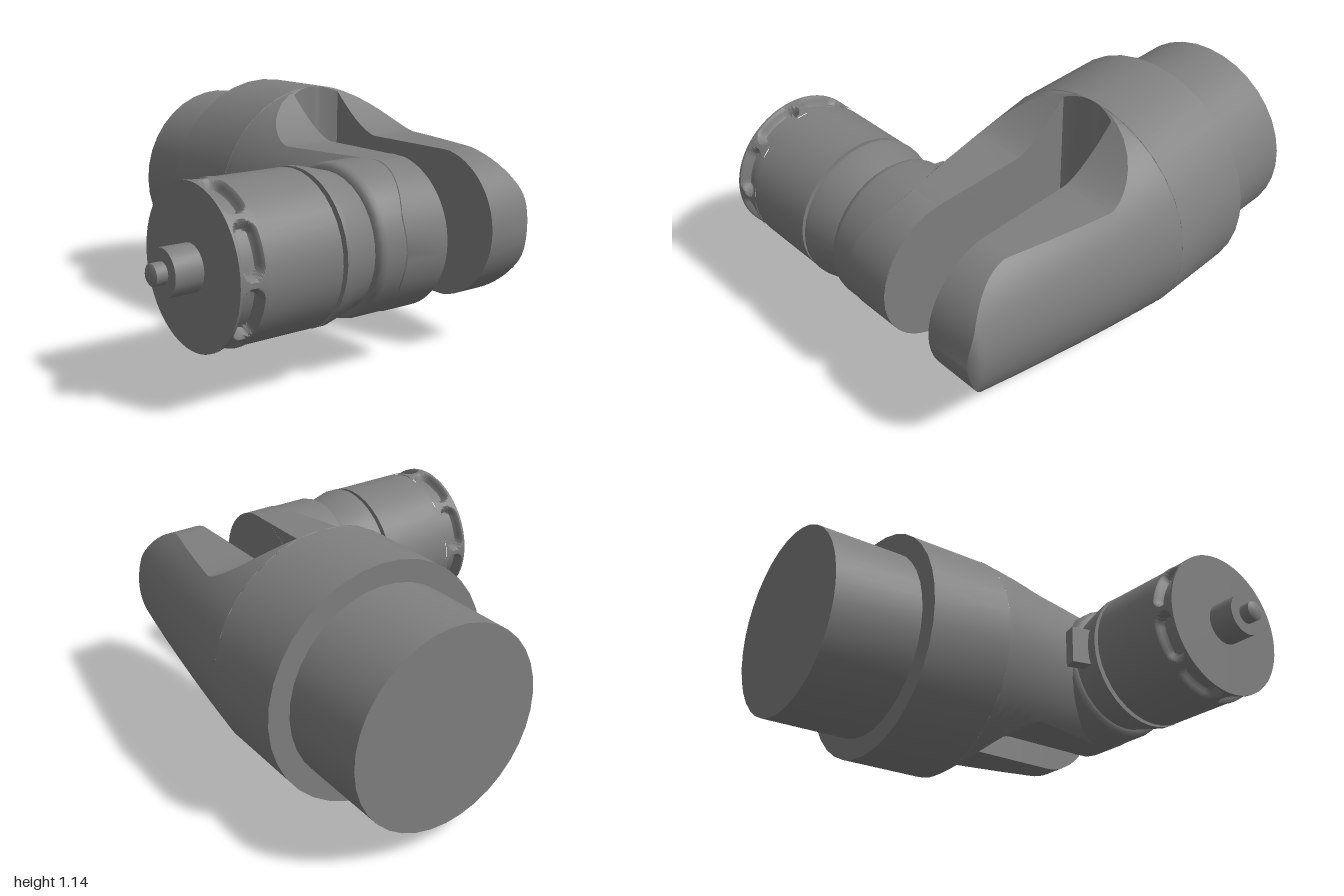
import * as THREE from 'three';
import { toCreasedNormals } from 'three/addons/utils/BufferGeometryUtils.js';

const AXIS_Y = 0.573, AXIS_Z = -0.417; // long axis of the body, along x
const BARREL_R = 0.57;
const HUB_X = 0.645;                   // cross axis of the head, along z
const ARM_R = 0.35, ARM_H = 0.345;
const SLOT_X = -0.12, SLOT_HALF = 0.14;
const material = new THREE.MeshStandardMaterial({ color: 0x7f7f7f });

function part(name, geometry, parent, crease = 0.6) {
  const mesh = new THREE.Mesh(toCreasedNormals(geometry, crease), material);
  mesh.name = name;
  parent.add(mesh);
  return mesh;
}

// Turned part; profile is [radius, height] pairs from bottom to top
function turned(profile, sides = 36) {
  return new THREE.LatheGeometry(profile.map(([r, h]) => new THREE.Vector2(r, h)), sides);
}

// Half height of the fork seen from the side: flare, straight run, round end
function halfHeight(x) {
  if (x < 0.2) return ARM_H + 0.225 * Math.pow((0.2 - x) / 0.32, 1.5);
  if (x < HUB_X) return ARM_H;
  return Math.min(ARM_H, Math.sqrt(Math.max(0, ARM_R ** 2 - (x - HUB_X) ** 2)));
}

// Tapering outer radius of the fork, softened at the tip
function outerRadius(x) {
  const d = x - SLOT_X, tip = Math.max(0, (x - 0.95) / 0.045);
  return BARREL_R - 0.12 * d - 0.03 * d * d - 0.03 * tip * tip;
}

// One arm: cone clipped to the side profile and to its half of the slot
function armGeometry(side) {
  const xs = [-0.12, -0.119, -0.116, -0.111, -0.102, -0.09];
  for (let x = -0.06; x < 0.19; x += 0.04) xs.push(x);
  xs.push(0.2, 0.35, 0.5);
  for (let i = 0; i <= 16; i++) xs.push(HUB_X + ARM_R * Math.sin(i / 16 * Math.PI / 2));
  const arc = 16, count = arc + 3, positions = [], index = [];
  for (const x of xs) {
    const r = outerRadius(x);
    const inner = SLOT_HALF * Math.sqrt(Math.min(1, (x - SLOT_X) / 0.03));
    const h = Math.min(halfHeight(x), Math.sqrt(r * r - inner * inner));
    const a = Math.asin(Math.min(1, h / r));
    const add = (y, w) => positions.push(x, AXIS_Y + y, AXIS_Z + side * w);
    add(h, inner);
    for (let j = 0; j <= arc; j++) {
      const t = a * (1 - 2 * j / arc);
      add(r * Math.sin(t), Math.max(inner, r * Math.cos(t)));
    }
    add(-h, inner);
  }
  const tri = (a, b, c) => (side > 0 ? index.push(a, b, c) : index.push(a, c, b));
  for (let i = 0; i < xs.length - 1; i++) {
    for (let j = 0; j < count; j++) {
      const a = i * count + j, b = i * count + (j + 1) % count;
      tri(a, b, a + count);
      tri(b, b + count, a + count);
    }
  }
  const g = new THREE.BufferGeometry();
  g.setAttribute('position', new THREE.Float32BufferAttribute(positions, 3));
  g.setIndex(index);
  return g;
}

// Ring wall with eight rounded pockets pressed into it
function gripGeometry(radius, height) {
  const g = new THREE.CylinderGeometry(radius, radius, height, 192, 24, true);
  const p = g.attributes.position, step = Math.PI / 4;
  for (let i = 0; i < p.count; i++) {
    const angle = Math.atan2(p.getZ(i), p.getX(i)) + Math.PI * 2;
    const u = ((angle % step) - step / 2) * radius;
    const straight = Math.max(0, Math.abs(u) - 0.07);
    const inside = 0.054 - Math.hypot(straight, p.getY(i));
    const depth = 0.045 * THREE.MathUtils.smoothstep(inside, 0, 0.022);
    const k = (radius - depth) / radius;
    p.setXYZ(i, p.getX(i) * k, p.getY(i), p.getZ(i) * k);
  }
  return g;
}

export function createModel() {
  const model = new THREE.Group();
  model.name = 'forkJoint';

  // Rear stub and main barrel, turned about x
  const barrel = new THREE.Group();
  barrel.name = 'barrel';
  barrel.position.set(0, AXIS_Y, AXIS_Z);
  barrel.rotation.z = -Math.PI / 2;
  model.add(barrel);
  part('rearStub', turned([[0, -1], [0.468, -1], [0.468, -0.54]]), barrel);
  part('mainBarrel', turned([[0, -0.552], [BARREL_R, -0.552], [BARREL_R, SLOT_X], [0, SLOT_X]]), barrel);

  // Fork arms either side of the slot
  part('frontArm', armGeometry(1), model);
  part('rearArm', armGeometry(-1), model);

  // Head parts, turned about z
  const head = new THREE.Group();
  head.name = 'head';
  head.position.set(HUB_X, AXIS_Y, 0);
  head.rotation.x = Math.PI / 2;
  model.add(head);
  part('armBoss', turned([[0, -0.278], [0.347, -0.278], [0.347, 0.06], [0.342, 0.082],
    [0.33, 0.096], [0.31, 0.102], [0, 0.102]]), head);
  part('collar', turned([[0, 0.098], [0.312, 0.098], [0.35, 0.25], [0.35, 0.278], [0, 0.278]]), head, 0.3);
  part('neck', turned([[0.28, 0.27], [0.28, 0.31]]), head);
  part('housing', turned([[0, 0.3], [0.348, 0.3], [0.348, 0.67], [0, 0.67]]), head);
  part('gripRing', gripGeometry(0.351, 0.13), head).position.y = 0.735;
  part('frontDisc', turned([[0.351, 0.8], [0, 0.8]], 64), head);
  part('spindle', turned([[0.102, 0.79], [0.102, 0.93], [0, 0.93]], 24), head);
  part('spindleTip', turned([[0.047, 0.92], [0.047, 0.98], [0.035, 0.988], [0, 0.988]], 16), head);

  // Small slanted tab on the collar
  const tab = part('collarTab', new THREE.BoxGeometry(0.16, 0.185, 0.07), model);
  tab.position.set(0.308, AXIS_Y, 0.188);
  tab.rotation.y = -0.25;

  return model;
}
